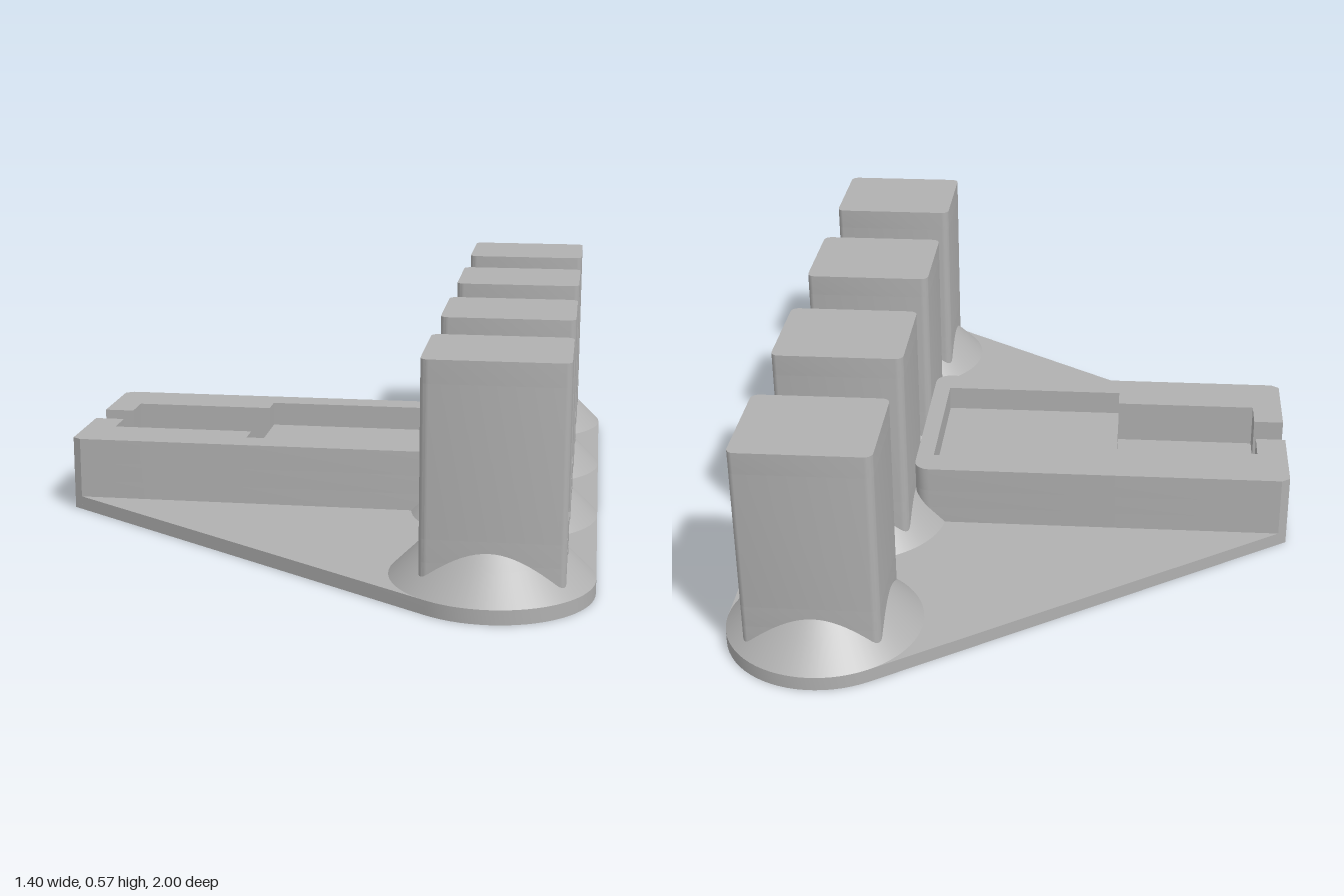
import * as THREE from 'three';
import { toCreasedNormals } from 'three/addons/utils/BufferGeometryUtils.js';

const grey = new THREE.MeshStandardMaterial({ color: 0xb0b0b0 });
grey.name = 'grey plastic';

const TOWER_X = 0.455, CONE_R = 0.2425, PLATE_TOP = 0.035;
const TOWER_Z = [-0.7575, -0.2525, 0.2525, 0.7575];

function add(parent, geometry, name) {
  const mesh = new THREE.Mesh(geometry, grey);
  mesh.name = name;
  parent.add(mesh);
  return mesh;
}

// upright slab from a plan outline (x, -z), counter-clockwise
function slab(points, y0, y1) {
  const shape = new THREE.Shape(points.map(([x, y]) => new THREE.Vector2(x, y)));
  const g = new THREE.ExtrudeGeometry(shape, { depth: y1 - y0, bevelEnabled: false });
  g.rotateX(-Math.PI / 2);
  g.translate(0, y0, 0);
  return toCreasedNormals(g, 0.5);
}

function arc(cx, cy, r, a0, a1, n) {
  return Array.from({ length: n + 1 }, (_, i) => {
    const a = a0 + (a1 - a0) * i / n;
    return [cx + r * Math.cos(a), cy + r * Math.sin(a)];
  });
}

const mirror = pts => pts.map(([x, y]) => [x, -y]).reverse();

// tower plan: rounded rectangle, optionally with a pocket open towards +x
function towerPlan(pocketHalf, pocketBack) {
  const x0 = 0.295, x1 = 0.63, h = 0.145, r = 0.02, q = Math.PI / 2;
  const upper = [
    ...arc(x1 - r, h - r, r, 0, q, 5),
    ...arc(x0 + r, h - r, r, q, 2 * q, 5),
  ];
  if (pocketHalf) upper.unshift([pocketBack, pocketHalf], [x1, pocketHalf]);
  return [...upper, ...mirror(upper)];
}

// case plan: clipped outer corners, with a stepped cut open towards -x
function casePlan(cut) {
  const q = Math.PI / 2;
  const upper = [...arc(0.255, 0.24, 0.04, 0, q, 5), [-0.678, 0.28], [-0.7, 0.265], ...cut];
  return [...upper, ...mirror(upper)];
}

function makeTower() {
  const tower = new THREE.Group();
  tower.name = 'tower';
  const floor = 0.16, ceiling = 0.52, slotFloor = 0.105, back = 0.335, half = 0.112;
  add(tower, slab(towerPlan(), 0.01, slotFloor), 'towerFoot');
  add(tower, slab(towerPlan(0.04, 0.5), slotFloor, floor), 'towerSlotLayer');
  add(tower, slab(towerPlan(half, back), floor, ceiling), 'towerPocketWalls');
  add(tower, slab(towerPlan(), ceiling, 0.575), 'towerCap');

  // sloping pocket ceiling
  const wedge = new THREE.Shape([
    new THREE.Vector2(back, ceiling), new THREE.Vector2(back, ceiling - 0.016), new THREE.Vector2(0.63, ceiling),
  ]);
  const wedgeGeo = new THREE.ExtrudeGeometry(wedge, { depth: 2 * half, bevelEnabled: false });
  wedgeGeo.translate(0, 0, -half);
  add(tower, wedgeGeo, 'pocketCeiling');

  // small retaining bumps on the pocket walls
  for (const s of [-1, 1]) {
    const bump = add(tower, new THREE.SphereGeometry(0.014, 12, 8), 'retainingBump');
    bump.position.set(0.6, 0.44, s * half);
  }

  // conical skirt; its upper band leaves the slot clear
  const lower = new THREE.CylinderGeometry(CONE_R - 0.065, CONE_R, 0.065, 64, 1, true);
  lower.translate(TOWER_X, PLATE_TOP + 0.0325, 0);
  add(tower, lower, 'skirt');
  const upper = new THREE.CylinderGeometry(CONE_R - 0.1, CONE_R - 0.065, 0.035, 56, 1, true,
    Math.PI / 2 + 0.4, 2 * Math.PI - 0.8);
  upper.translate(TOWER_X, PLATE_TOP + 0.0825, 0);
  add(tower, upper, 'skirtUpper');
  return tower;
}

export function createModel() {
  const model = new THREE.Group();
  model.name = 'towerStand';

  // base plate: two round corners joined to a narrow straight end
  const half = [...arc(TOWER_X, TOWER_Z[3], CONE_R, 0, 2.168, 24), [-0.7, 0.265]];
  add(model, slab([...half, ...mirror(half)], 0, PLATE_TOP), 'basePlate');

  // open case with two pockets and an end slot
  const caseGroup = new THREE.Group();
  caseGroup.name = 'case';
  const narrow = [[-0.7, 0.05], [-0.62, 0.05], [-0.62, 0.135]];
  add(caseGroup, slab(casePlan([]), 0.005, 0.08), 'caseFloor');
  add(caseGroup, slab(casePlan([...narrow, [-0.24, 0.135]]), 0.08, 0.13), 'caseLowerWalls');
  add(caseGroup, slab(casePlan([...narrow, [-0.24, 0.135], [-0.24, 0.2], [0.25, 0.2]]), 0.13, 0.195), 'caseUpperWalls');
  model.add(caseGroup);

  for (const z of TOWER_Z) {
    const tower = makeTower();
    tower.position.z = z;
    model.add(tower);
  }
  return model;
}
